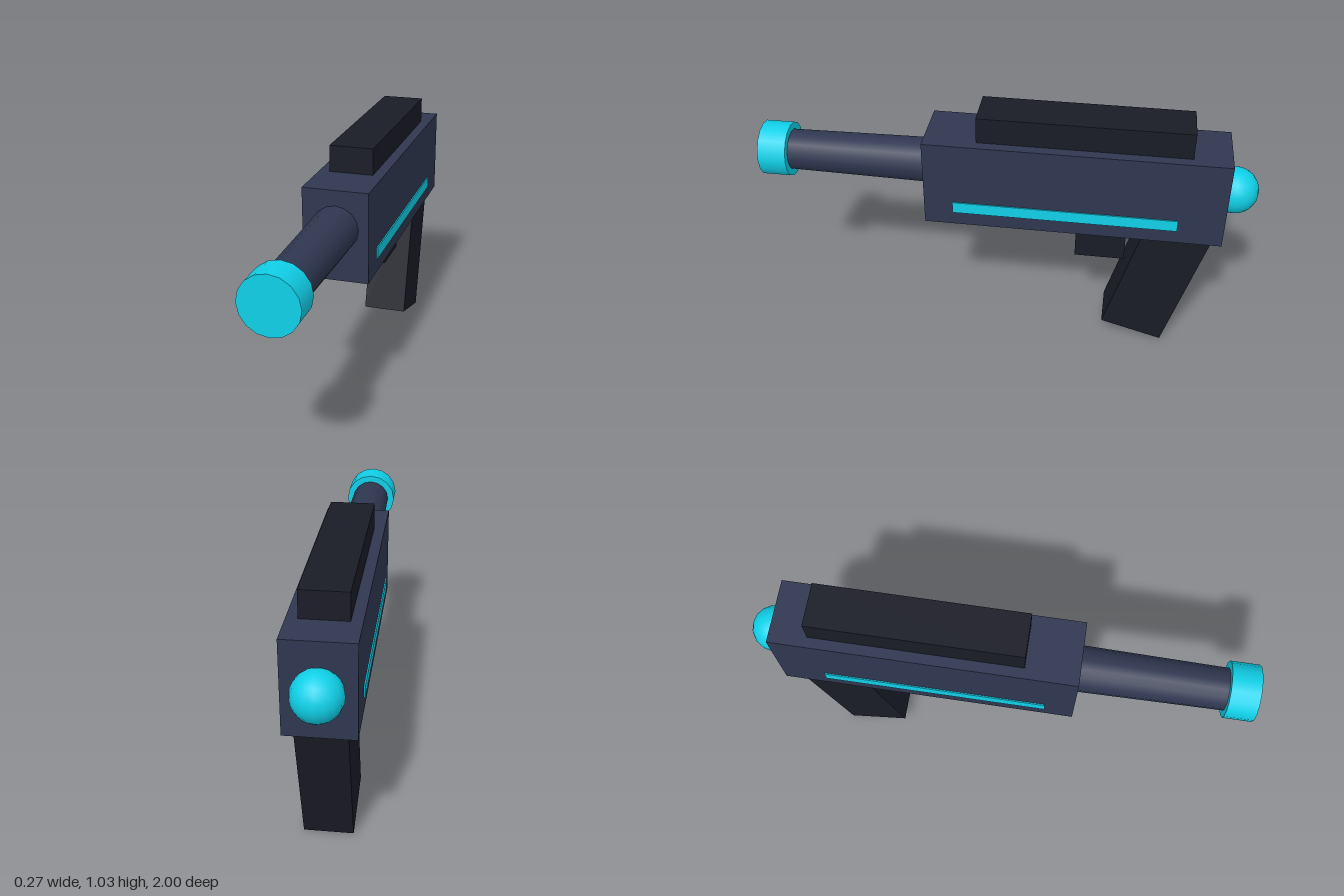
import * as THREE from 'three';

export function createModel() {
  const model = new THREE.Group();
  const navy = new THREE.MeshStandardMaterial({ color: 0x2f3750 });
  const black = new THREE.MeshStandardMaterial({ color: 0x1a1c26 });
  const cyan = new THREE.MeshStandardMaterial({ color: 0x10d0e8 });

  const add = (name, geometry, material, x, y, z) => {
    const mesh = new THREE.Mesh(geometry, material);
    mesh.name = name;
    mesh.position.set(x, y, z);
    model.add(mesh);
    return mesh;
  };
  const box = (name, material, w, h, d, x, y, z) =>
    add(name, new THREE.BoxGeometry(w, h, d), material, x, y, z);
  // Cylinder lying along z; the first radius is at the front
  const tube = (name, material, front, back, length, y, z) =>
    add(name, new THREE.CylinderGeometry(front, back, length, 16).rotateX(Math.PI / 2), material, 0, y, z);

  // Body and the rail on top of it
  box('body', navy, 0.262, 0.367, 1.19, 0, 0.7405, -0.28);
  box('topRail', black, 0.177, 0.107, 0.832, 0, 0.977, -0.31);

  // Glowing strip on each side
  for (const [name, side] of [['leftStrip', 1], ['rightStrip', -1]]) {
    box(name, cyan, 0.018, 0.048, 0.894, side * 0.127, 0.639, -0.248);
  }

  // Tapered barrel with its tip
  tube('barrel', navy, 0.083, 0.092, 0.62, 0.771, 0.6);
  tube('muzzle', cyan, 0.112, 0.112, 0.115, 0.771, 0.9425);

  // Rear energy ball
  add('rearBall', new THREE.SphereGeometry(0.093, 16, 12), cyan, 0, 0.742, -0.907);

  // Trigger block and raked grip
  box('trigger', black, 0.07, 0.179, 0.206, 0, 0.4635, -0.398);
  const rake = 0.277, gripLength = 0.6;
  const grip = box('grip', black, 0.19, gripLength, 0.265, 0,
    0.037 + Math.cos(rake) * gripLength / 2, -0.557 - Math.sin(rake) * gripLength / 2);
  grip.rotation.x = -rake;

  return model;
}
